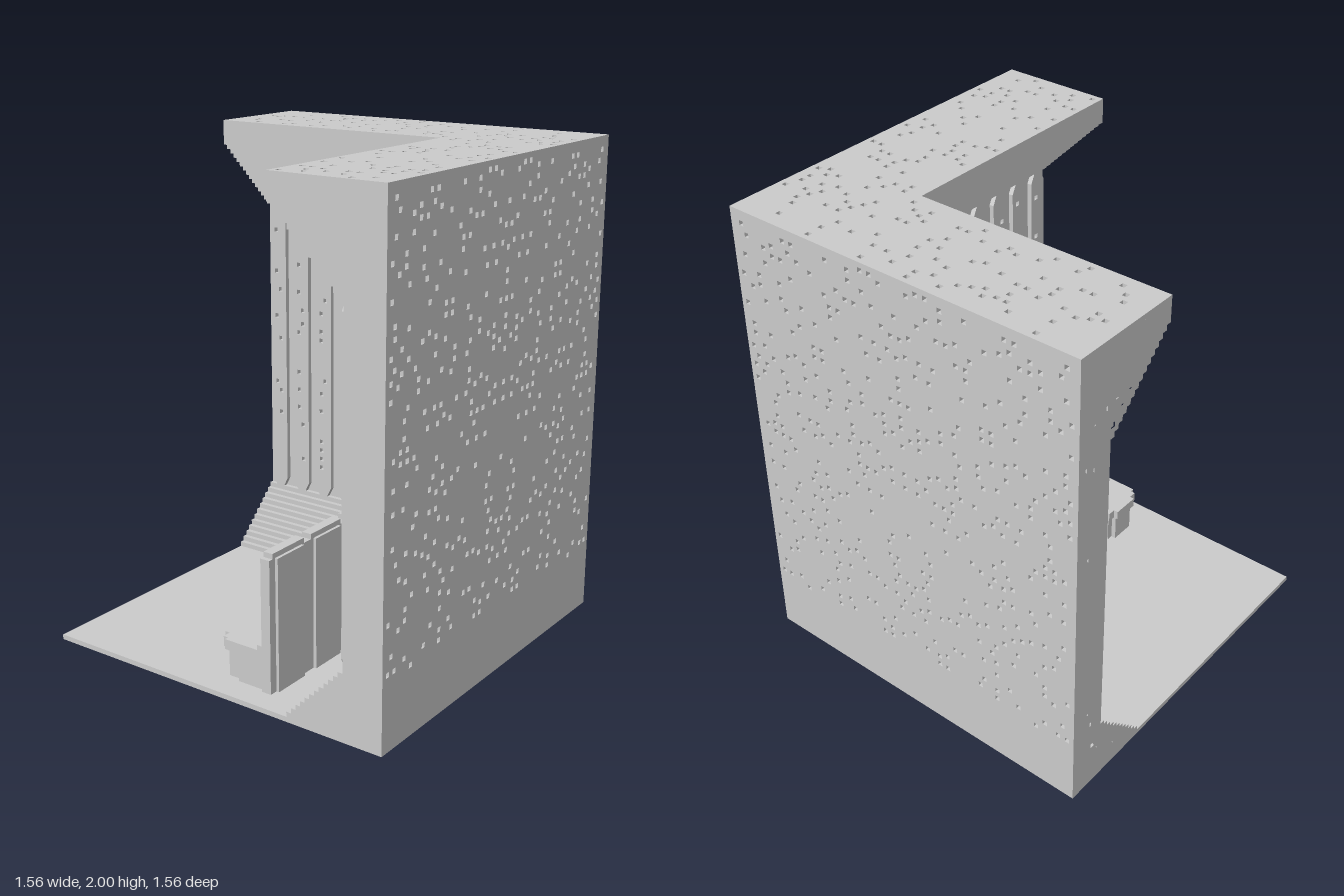
import * as THREE from 'three';

// Everything is laid out in block units (48 per model unit) and scaled at the end.
const UNIT = 1 / 48, HALF = 37.5, TALL = 96;
const mat = new THREE.MeshStandardMaterial({ color: 0xcccccc, flatShading: true });

let seed = 11;
const rnd = () => (seed = (seed * 16807) % 2147483647) / 2147483647;

function add(parent, name, geo, x = 0, y = 0, z = 0) {
  const m = new THREE.Mesh(geo, mat);
  m.name = name;
  m.position.set(x, y, z);
  parent.add(m);
  return m;
}

const box = (parent, name, x0, x1, y0, y1, z0, z1) =>
  add(parent, name, new THREE.BoxGeometry(x1 - x0, y1 - y0, z1 - z0), (x0 + x1) / 2, (y0 + y1) / 2, (z0 + z1) / 2);

// Scatter non-touching one-block pits over the allowed cells; mirrored about cell (n - 1) / 2 if asked
function scatter(n, rows, allowed, chance, mirror) {
  const taken = new Set(), cells = [];
  const free = (i, j) => {
    for (let a = -1; a <= 1; a++) for (let b = -1; b <= 1; b++) if (taken.has((i + a) + ',' + (j + b))) return false;
    return true;
  };
  for (let j = 0; j < rows; j++) {
    for (let i = 0; i < (mirror ? (n + 1) / 2 : n); i++) {
      if (rnd() > chance || !allowed(i, j) || !free(i, j)) continue;
      const pair = mirror && i !== n - 1 - i ? [i, n - 1 - i] : [i];
      for (const c of pair) { taken.add(c + ',' + j); cells.push([c, j]); }
    }
  }
  return cells;
}

// Flat slab with square pits cut through it; (ox, oy) is the corner of cell 0,0
function pitted(points, cells, ox, oy, depth = 1) {
  const shape = new THREE.Shape(points.map(p => new THREE.Vector2(...p)));
  for (const [i, j] of cells) {
    const x = ox + i + 0.01 + rnd() * 0.02, y = oy + j + 0.01 + rnd() * 0.02, s = 0.95;
    shape.holes.push(new THREE.Path([[x, y], [x, y + s], [x + s, y + s], [x + s, y]].map(p => new THREE.Vector2(...p))));
  }
  return new THREE.ExtrudeGeometry(shape, { depth, bevelEnabled: false });
}

// Wall thickness at a given height
const thickness = y => y < 13 ? 21 - y : y < 77 ? 8 : y < 92 ? y - 68 : 23;

// Wall section (z, y): stepped footing, upright face, stepped overhang and lip
function section(outer, bottom, top) {
  const p = [[outer, bottom], [HALF - 20, bottom]];
  for (let i = 0; i < 12; i++) p.push([HALF - 20 + i, 2 + i], [HALF - 19 + i, 2 + i]);
  for (let i = 0; i < 15; i++) p.push([HALF - 8 - i, 77 + i], [HALF - 9 - i, 77 + i]);
  p.push([HALF - 23, top], [outer, top]);
  return p;
}

// One wall on the +z side; open is the sign of x at its free end
function makeWall(name, open) {
  const g = new THREE.Group();
  g.name = name;

  const core = pitted(section(HALF - 1, 1, TALL - 1), [], 0, 0, 73);
  core.translate(0, 0, -36.5).rotateY(-Math.PI / 2);
  add(g, 'wallCore', core);

  // outer face, with the same symmetric pits on each wall
  seed = 4711;
  const face = scatter(75, TALL, (i, j) => i > 0 && j > 12 && j < 95, 0.105, true);
  add(g, 'outerFace', pitted([[-HALF, 0], [HALF, 0], [HALF, TALL], [-HALF, TALL]], face, -HALF, 0), 0, 0, HALF - 1);

  // free end
  const endCells = scatter(23, TALL, (d, y) => d > 0 && y > 2 && y < 95 &&
    d + 2 <= Math.min(thickness(y - 1), thickness(y), thickness(y + 1)), 0.09, false)
    .map(([d, y]) => [-d - 1, y]);
  const end = pitted(section(HALF, 0, TALL), endCells, HALF, 0);
  end.translate(0, 0, -0.5).rotateY(-Math.PI / 2);
  add(g, 'wallEnd', end, open * (HALF - 0.5));

  // upright ribs on the inner face
  const outline = [[-1, 13], [1, 13], [2, 15], [2, 75], [1, 77], [-1, 77], [-2, 75], [-2, 15]];
  for (let k = 0; k < 11; k++) {
    const pits = scatter(2, 73, (i, j) => j > 16, 0.12, false);
    add(g, 'rib', pitted(outline, pits, -1, 0), open * (34.5 - 6 * k), 0, HALF - 9);
  }
  return g;
}

// Front outline of the seat or its supports, with four stepped lobes
const LOBES = [-1.5, -0.5, 0.5, 1.5].map(k => k * 11.3);
function lobed(inset, gapZ) {
  const w = 22.5 - inset, p = [[-w, 8.5], [-w, gapZ]];
  for (const c of LOBES) {
    const a = 4.7 - inset, b = 3 - inset / 2;
    p.push([c - a, gapZ], [c - a, inset - 1], [c - b, inset - 1], [c - b, inset - 2],
      [c + b, inset - 2], [c + b, inset - 1], [c + a, inset - 1], [c + a, gapZ]);
  }
  p.push([w, gapZ], [w, 8.5]);
  return p;
}

function makeBench() {
  const g = new THREE.Group();
  g.name = 'bench';
  const slab = (name, pts, y0, y1) => add(g, name, pitted(pts, [], 0, 0, y1 - y0).rotateX(Math.PI / 2), 0, y1, 0);
  slab('seat', lobed(0, 0), 7, 9);
  slab('seatSupports', lobed(0.7, 2.5), 1, 7);
  box(g, 'backrest', -22.5, 22.5, 1, 27, 8.5, 10.5);
  // raised backrest tops with a notch between neighbours, and thin pads behind
  for (const c of LOBES) {
    box(g, 'backrestTop', c - 4.65, c + 4.65, 27, 28, 8.5, 10.5);
    box(g, 'backPad', c - 3.9, c + 3.9, 1, 27, 10.5, 11.1);
  }
  for (const s of [-1, 1]) box(g, 'endPost', s * 22 - 0.5, s * 22 + 0.5, 9, 10, 7.5, 8.5);
  g.position.x = -10.4;
  return g;
}

export function createModel() {
  const room = new THREE.Group();
  room.name = 'cornerRoom';

  box(room, 'floor', -HALF, HALF, 0, 1, -HALF, HALF);

  room.add(makeWall('frontWall', -1));
  const side = makeWall('sideWall', 1);
  side.rotation.y = Math.PI / 2;
  room.add(side);

  // L-shaped top of both walls
  const e = HALF - 23;
  const topPits = scatter(75, 75, (i, k) => i > 0 && k > 0 && i < 74 && k < 74 && (i > 52 || k > 52), 0.085, false);
  const top = pitted([[e, -HALF], [HALF, -HALF], [HALF, HALF], [-HALF, HALF], [-HALF, e], [e, e]], topPits, -HALF, -HALF);
  add(room, 'wallTop', top.rotateX(Math.PI / 2), 0, TALL, 0);

  room.add(makeBench());

  room.scale.setScalar(UNIT);
  const model = new THREE.Group();
  model.name = 'model';
  model.add(room);
  return model;
}
